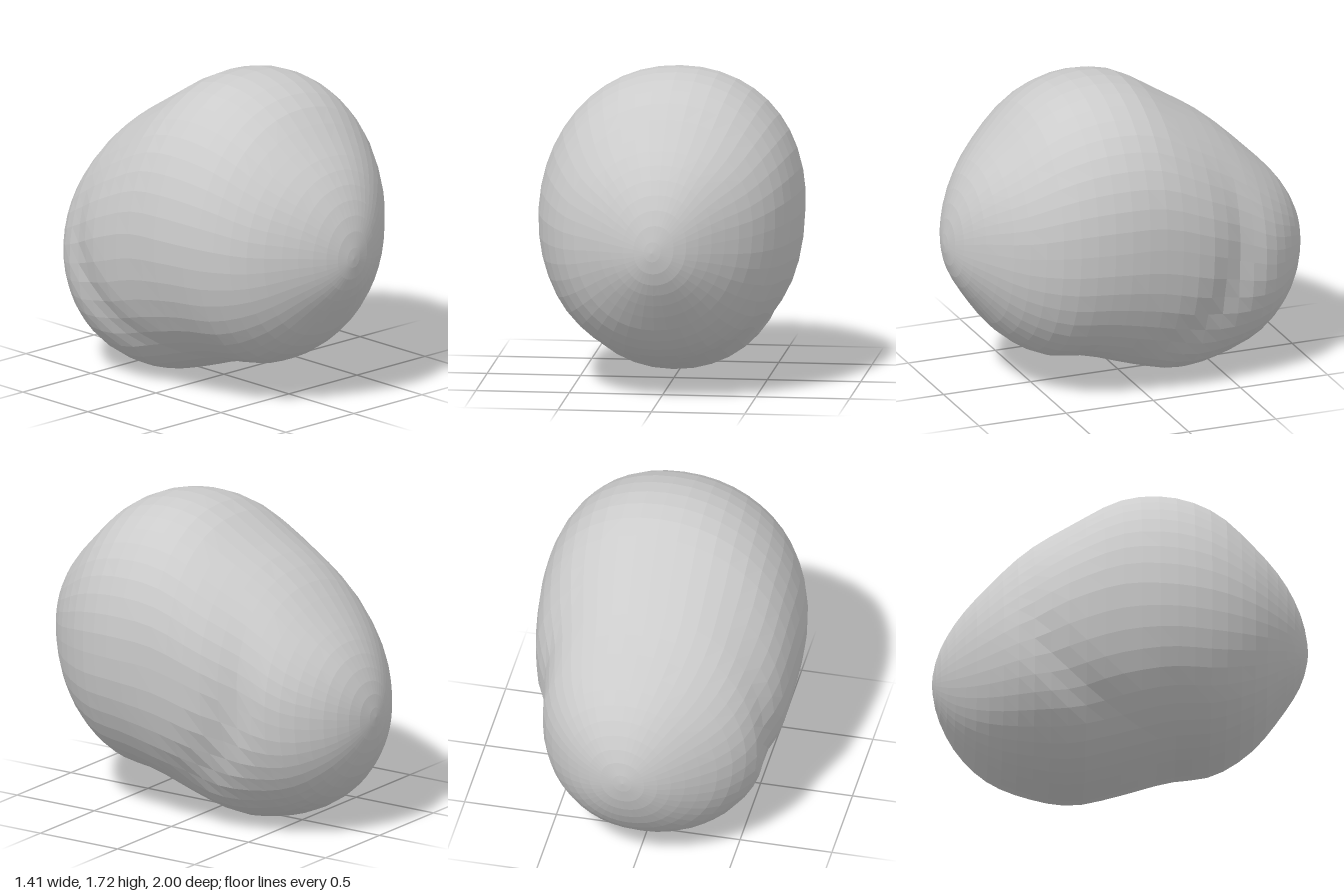
import * as THREE from 'three';

// Profiles sampled every 15 degrees from the front tip (z = 1) to the back tip (z = -1)
const profile = (values) => {
  const spline = new THREE.SplineCurve(values.map((v, i) => new THREE.Vector2(i, v)));
  return (t) => spline.getPoint(t).y;
};
const top = profile([0.86, 1.06, 1.26, 1.44, 1.63, 1.715, 1.69, 1.54, 1.38, 1.19, 1.02, 0.84, 0.67]);
const bottom = profile([0.86, 0.7, 0.53, 0.33, 0.195, 0.155, 0.07, 0.005, 0.04, 0.14, 0.3, 0.49, 0.67]);
const middle = profile([0.86, 0.88, 0.9, 0.91, 0.93, 0.94, 0.93, 0.85, 0.75, 0.68, 0.66, 0.66, 0.67]);
const leftSide = profile([0, 0.16, 0.33, 0.505, 0.635, 0.695, 0.7, 0.665, 0.59, 0.51, 0.37, 0.2, 0.03]);
const rightSide = profile([0, -0.14, -0.32, -0.51, -0.635, -0.695, -0.705, -0.69, -0.64, -0.505, -0.31, -0.13, 0.03]);

const RINGS = 32;
const SIDES = 44;

// Rounded cross-section point at ring parameter t and angle a
function surfacePoint(t, a) {
  const z = Math.cos(t * Math.PI);
  const power = 2 / 2.12;
  const c = Math.sign(Math.cos(a)) * Math.abs(Math.cos(a)) ** power;
  const s = Math.sign(Math.sin(a)) * Math.abs(Math.sin(a)) ** power;
  const l = leftSide(t), r = rightSide(t), mid = middle(t);
  const lean = (s > 0 ? 0.05 : 0.02) * s * Math.sin(t * Math.PI);
  let x = (l + r) / 2 + ((l - r) / 2) * c + lean;
  const y = mid + s * (s > 0 ? top(t) - mid : mid - bottom(t));

  // Shallow valley where the round front mass meets the rear lobe
  const dy = y - 0.9, dz = z - 0.2;
  const radius = Math.hypot(dy, dz);
  const rearLow = Math.max(0, (-dy * 0.6 - dz * 0.8) / (radius || 1));
  x -= c * 0.035 * rearLow * Math.exp(-(((radius - 0.68) / 0.1) ** 2));
  return [x, y, z];
}

function bodyGeometry() {
  const positions = [];
  const indices = [];
  for (let i = 0; i <= RINGS; i++) {
    for (let j = 0; j < SIDES; j++) {
      positions.push(...surfacePoint(i / RINGS, (j / SIDES) * Math.PI * 2));
    }
  }
  for (let i = 0; i < RINGS; i++) {
    for (let j = 0; j < SIDES; j++) {
      const k = (j + 1) % SIDES;
      const a = i * SIDES + j, b = i * SIDES + k;
      const c = a + SIDES, d = b + SIDES;
      if (i > 0) indices.push(a, c, b);
      if (i < RINGS - 1) indices.push(b, c, d);
    }
  }
  const geometry = new THREE.BufferGeometry();
  geometry.setAttribute('position', new THREE.Float32BufferAttribute(positions, 3));
  geometry.setIndex(indices);
  geometry.computeVertexNormals();
  return geometry;
}

export function createModel() {
  const group = new THREE.Group();
  group.name = 'roundedBlob';
  const material = new THREE.MeshStandardMaterial({ color: 0xcccccc, flatShading: true });
  const body = new THREE.Mesh(bodyGeometry(), material);
  body.name = 'body';
  group.add(body);
  return group;
}
